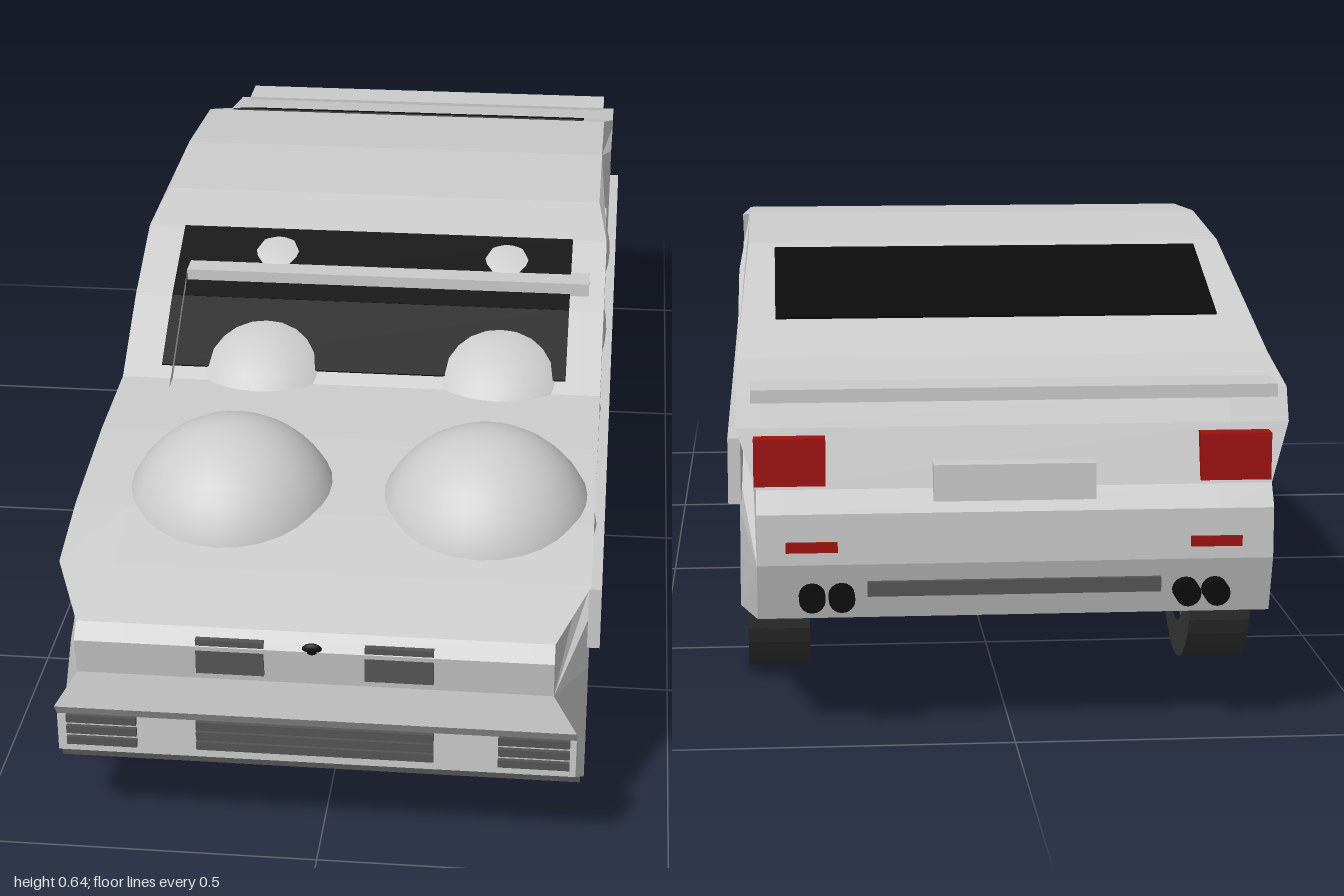
import * as THREE from 'three';

const mat = (color) => new THREE.MeshStandardMaterial({ color });
const GREY = mat(0xcccccc), DARK = mat(0x555555), TYRE = mat(0x383838), BLACK = mat(0x0c0c0c), RED = mat(0xa01010);

// Side outline as [z, y], from the nose over the roof and back along the underside
const OUTLINE = [
  [1.0, 0.345], [0.98, 0.365], [0.87, 0.395], [0.75, 0.425], [0.55, 0.448], [0.38, 0.455],
  [0.25, 0.54], [0.11, 0.605], [0, 0.63], [-0.2, 0.64], [-0.43, 0.62], [-0.78, 0.5],
  [-0.92, 0.475], [-0.94, 0.43], [-0.965, 0.35], [-0.985, 0.32], [-0.985, 0.25], [-0.96, 0.17],
  [-0.735, 0.13], [-0.72, 0.2], [-0.68, 0.26], [-0.62, 0.29], [-0.53, 0.29], [-0.45, 0.26],
  [-0.41, 0.19], [-0.4, 0.12], [0.53, 0.12], [0.55, 0.2], [0.6, 0.26], [0.67, 0.29],
  [0.76, 0.285], [0.83, 0.24], [0.86, 0.18], [0.865, 0.125], [0.93, 0.12], [0.985, 0.155],
  [0.985, 0.215], [1.0, 0.235], [0.992, 0.29],
];
const WINDOW = [[0.32, 0.42], [0.22, 0.575], [-0.4, 0.575], [-0.4, 0.42]];
const toPoints = (list) => list.map(([z, y]) => new THREE.Vector2(z, y));

// Slice of the body between two x positions, narrowed at the nose, tail and roof
function bodySlice(x0, x1, hole) {
  const shape = new THREE.Shape(toPoints(OUTLINE));
  if (hole) shape.holes.push(new THREE.Path(toPoints(hole)));
  const geo = new THREE.ExtrudeGeometry(shape, { depth: x1 - x0, bevelEnabled: false });
  geo.rotateY(-Math.PI / 2).translate(x1, 0, 0);
  const p = geo.attributes.position;
  for (let i = 0; i < p.count; i++) {
    const y = p.getY(i), z = p.getZ(i);
    let s = 1;
    if (z > 0.96 && y > 0.27) s = 0.88;
    else if (z > 0.97) s = 0.97;
    if (z < -0.95) s = 0.93;
    if (y > 0.615) s = 0.96;
    p.setX(i, p.getX(i) * s);
  }
  geo.computeVertexNormals();
  return geo;
}

export function createModel() {
  const car = new THREE.Group();
  car.name = 'car';
  const add = (name, geo, material = GREY, parent = car) => {
    const mesh = new THREE.Mesh(geo, material);
    mesh.name = name;
    parent.add(mesh);
    return mesh;
  };
  // Box given by its x, y and z ranges
  const box = (name, [x0, x1], [y0, y1], [z0, z1], material) => {
    const mesh = add(name, new THREE.BoxGeometry(x1 - x0, y1 - y0, z1 - z0), material);
    mesh.position.set((x0 + x1) / 2, (y0 + y1) / 2, (z0 + z1) / 2);
    return mesh;
  };
  // Thin panel lying on the slope between two [z, y] points
  const slopePanel = (name, [x0, x1], a, b, material) => {
    const dz = b[0] - a[0], dy = b[1] - a[1];
    const mesh = add(name, new THREE.BoxGeometry(x1 - x0, 0.006, Math.hypot(dz, dy)), material);
    mesh.position.set((x0 + x1) / 2, (a[1] + b[1]) / 2, (a[0] + b[0]) / 2);
    mesh.rotation.x = Math.atan(-dy / dz);
  };

  // Body core and side skins with window openings
  add('bodyCore', bodySlice(-0.3, 0.342));
  add('leftSide', bodySlice(0.342, 0.375, WINDOW));
  add('rightSide', bodySlice(-0.38, -0.3, WINDOW));
  box('leftDoorPillar', [0.342, 0.372], [0.41, 0.58], [-0.105, -0.07]);
  box('rightDoorPillar', [-0.378, -0.3], [0.41, 0.58], [-0.105, -0.07]);

  // Windscreen and rear window
  slopePanel('lowerWindscreen', [-0.32, 0.32], [0.36, 0.468], [0.25, 0.54], BLACK);
  slopePanel('upperWindscreen', [-0.32, 0.32], [0.25, 0.54], [0.11, 0.605], BLACK);
  slopePanel('rearWindow', [-0.325, 0.32], [-0.45, 0.613], [-0.67, 0.538], BLACK);

  // Planks across the windscreen and along the left side
  box('windscreenPlank', [-0.3, 0.35], [0.545, 0.575], [0.155, 0.22]);
  box('sidePlank', [0.372, 0.39], [0.29, 0.385], [-0.78, 0.86]);

  // Pairs of balls through the bonnet and cabin, as [y, z]
  const ball = new THREE.SphereGeometry(0.165, 32, 20);
  for (const [y, z] of [[0.362, 0.67], [0.355, 0.28], [0.44, 0.09], [0.35, -0.09], [0.44, -0.25], [0.35, -0.45]])
    for (const x of [-0.16, 0.215]) add('ball', ball).position.set(x, y, z);

  // Wheels with a recessed hub and one crossbar
  const ring = new THREE.LatheGeometry(
    [[0.085, -0.045], [0.14, -0.045], [0.14, 0.045], [0.085, 0.045], [0.085, 0.03]]
      .map(([r, h]) => new THREE.Vector2(r, h)), 32).toNonIndexed();
  ring.computeVertexNormals();
  const hub = new THREE.CylinderGeometry(0.086, 0.086, 0.07, 32);
  for (const side of [-1, 1])
    for (const z of [0.7, -0.58]) {
      const wheel = new THREE.Group();
      wheel.name = 'wheel';
      wheel.position.set(side > 0 ? 0.32 : -0.33, 0.14, z);
      add('tyre', ring, TYRE, wheel).rotation.z = -side * Math.PI / 2;
      add('hub', hub, DARK, wheel).rotation.z = Math.PI / 2;
      add('crossbar', new THREE.BoxGeometry(0.088, 0.035, 0.168), TYRE, wheel);
      car.add(wheel);
    }

  // Details on both sides
  for (const s of [-1, 1]) {
    const mirror = (a, b) => (s > 0 ? [a, b] : [-b, -a]);
    const side = s > 0 ? [0.368, 0.377] : [-0.382, -0.37];
    box('sill', side, [0.12, 0.165], [-0.4, 0.39], DARK);
    box('doorSeam', side, [0.165, 0.3], [-0.082, -0.076], BLACK);
    box('headlight', mirror(0.07, 0.165), [0.302, 0.355], [0.98, 0.999], DARK);
    for (let i = 0; i < 3; i++)
      box('fogLightBar', mirror(0.255, 0.355), [0.168 + i * 0.018, 0.18 + i * 0.018], [0.95, 0.991], DARK);
    box('tailLight', mirror(0.255, 0.352), [0.355, 0.42], [-0.968, -0.93], RED);
    box('rearReflector', mirror(0.24, 0.31), [0.268, 0.282], [-0.99, -0.97], RED);
    for (const x of [0.235, 0.275]) {
      const pipe = add('exhaustPipe', new THREE.CylinderGeometry(0.018, 0.018, 0.07, 16), BLACK);
      pipe.rotation.x = Math.PI / 2;
      pipe.position.set(s * x, 0.205, -0.965);
    }
  }
  for (const z of [-0.35, 0]) box('doorHandle', [-0.392, -0.378], [0.37, 0.4], [z - 0.035, z + 0.035]);

  // Front grille, badge, bumper lip
  for (let i = 0; i < 3; i++)
    box('grilleBar', [-0.17, 0.165], [0.17 + i * 0.016, 0.183 + i * 0.016], [0.96, 0.991], DARK);
  const badge = add('badge', new THREE.SphereGeometry(0.012, 16, 8), BLACK);
  badge.scale.set(1.2, 0.8, 0.4);
  badge.position.set(-0.003, 0.347, 0.996);
  box('bumperLip', [-0.375, 0.37], [0.116, 0.138], [0.865, 0.94], DARK);

  // Tail spoiler, blank plate and rear bumper strip
  box('spoiler', [-0.36, 0.355], [0.468, 0.486], [-0.96, -0.89]);
  box('plate', [-0.11, 0.11], [0.335, 0.385], [-0.984, -0.94]);
  box('rearBumperStrip', [-0.2, 0.2], [0.205, 0.225], [-0.985, -0.95], DARK);
  return car;
}
